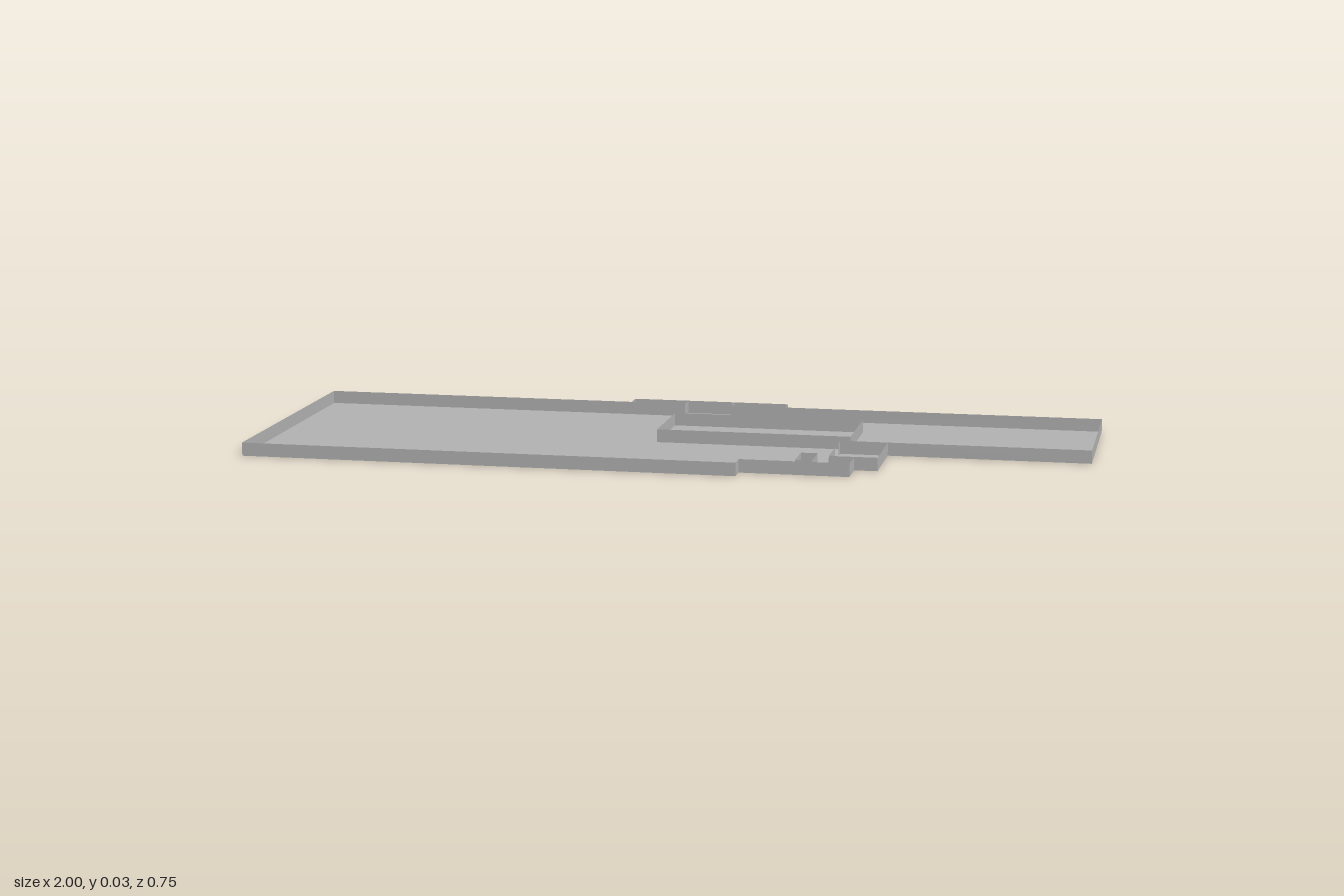
import * as THREE from 'three';

const HEIGHT = 0.032;

export function createModel() {
  const model = new THREE.Group();
  model.name = 'floorPlan';
  const plaster = new THREE.MeshStandardMaterial({ color: 0xb0b0b0, side: THREE.DoubleSide });
  plaster.name = 'grey plaster';

  // Thin upright walls along a path of [x, z] points
  function walls(name, points, closed = false) {
    const group = new THREE.Group();
    group.name = name;
    const count = closed ? points.length : points.length - 1;
    for (let i = 0; i < count; i++) {
      const [x1, z1] = points[i];
      const [x2, z2] = points[(i + 1) % points.length];
      const panel = new THREE.Mesh(
        new THREE.PlaneGeometry(Math.hypot(x2 - x1, z2 - z1), HEIGHT), plaster);
      panel.name = 'wallPanel';
      panel.position.set((x1 + x2) / 2, HEIGHT / 2, (z1 + z2) / 2);
      panel.rotation.y = Math.atan2(z1 - z2, x2 - x1);
      group.add(panel);
    }
    model.add(group);
  }

  // Rectangular enclosure
  const room = (name, x1, z1, x2, z2) =>
    walls(name, [[x1, z1], [x1, z2], [x2, z2], [x2, z1]], true);

  // Building outline
  const outline = [
    [-1, -0.33], [-0.2, -0.33], [-0.2, -0.375], [0.2, -0.375], [0.2, -0.33],
    [1, -0.33], [1, 0.07], [0.515, 0.07], [0.515, 0.255], [0.46, 0.255],
    [0.46, 0.333], [0.2, 0.333], [0.2, 0.375], [-1, 0.375],
  ];

  // Floor slab
  const shape = new THREE.Shape(outline.map(([x, z]) => new THREE.Vector2(x, -z)));
  const floor = new THREE.Mesh(new THREE.ShapeGeometry(shape).rotateX(-Math.PI / 2), plaster);
  floor.name = 'floor';
  model.add(floor);

  walls('outerWalls', outline, true);

  // Closets either side of the rear alcove
  for (const side of [-1, 1]) {
    walls('alcoveCloset', [[side * 0.2, -0.33], [side * 0.06, -0.33], [side * 0.06, -0.375]]);
  }

  // Central core and small front shaft
  room('centralCore', -0.06, -0.203, 0.417, 0.017);
  room('frontShaft', 0.33, 0.23, 0.37, 0.318);

  // Front side room with a doorway
  walls('sideRoomShortWall', [[0.515, 0.07], [0.4, 0.07], [0.4, 0.095]]);
  walls('sideRoomLongWall', [[0.4, 0.155], [0.4, 0.255], [0.46, 0.255]]);

  return model;
}
